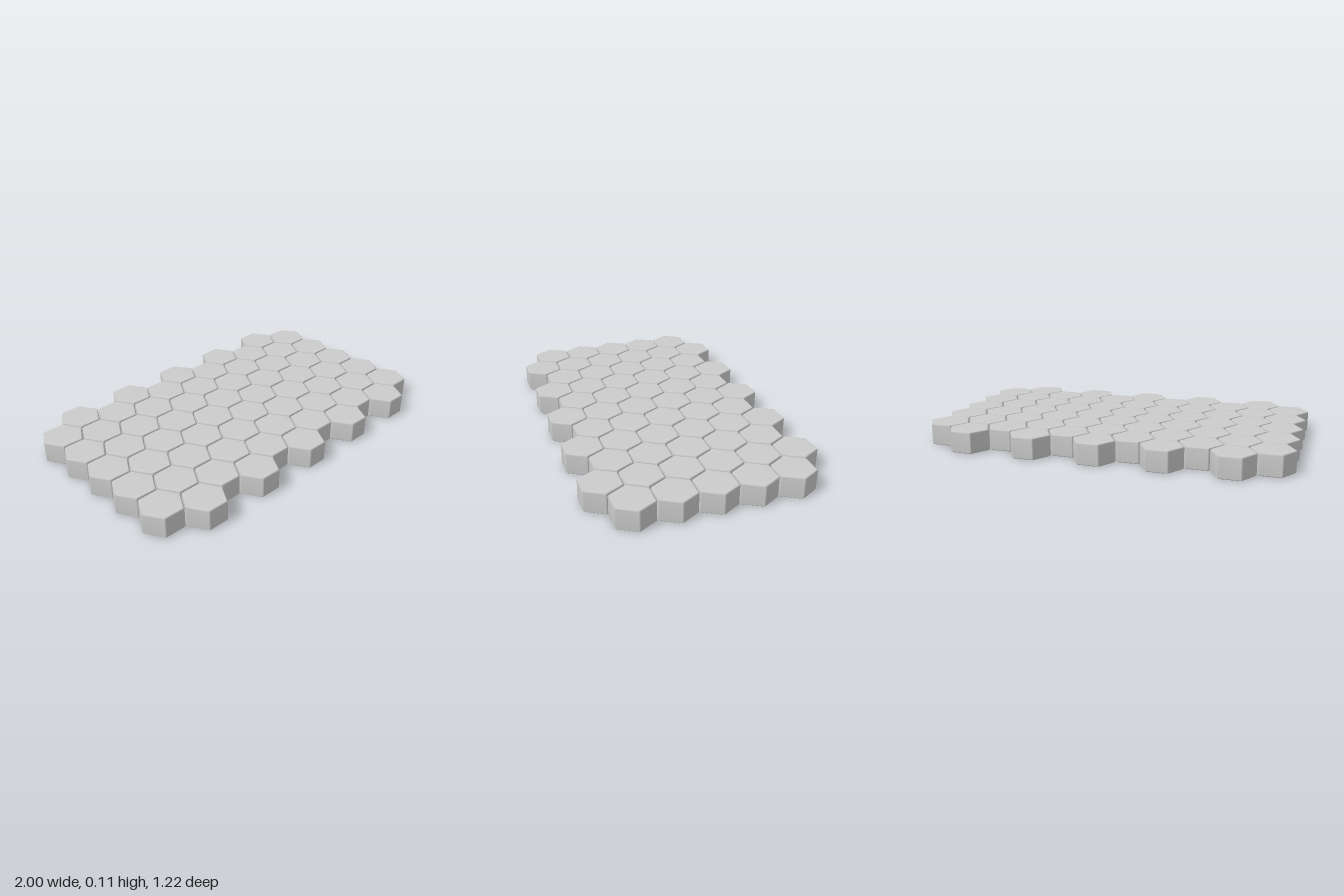
import * as THREE from 'three';
import { mergeVertices } from 'three/addons/utils/BufferGeometryUtils.js';

const HALF_FLAT = 0.1;                       // centre to flat side
const RADIUS = HALF_FLAT / Math.cos(Math.PI / 6);
const HEIGHT = 0.115;
const BEVEL = 0.006;
const PITCH_X = 0.1776, PITCH_Z = 0.2044;

// Hexagonal block with chamfered corners, bevelled rims and soft normals
function tileGeometry() {
  const corner = i => new THREE.Vector2(
    RADIUS * Math.cos(i * Math.PI / 3), RADIUS * Math.sin(i * Math.PI / 3));
  const cut = 0.005 / RADIUS;
  const points = [];
  for (let i = 0; i < 6; i++) {
    points.push(corner(i).lerp(corner(i - 1), cut), corner(i).lerp(corner(i + 1), cut));
  }
  let geo = new THREE.ExtrudeGeometry(new THREE.Shape(points), {
    depth: HEIGHT - 2 * BEVEL,
    bevelThickness: BEVEL, bevelSize: BEVEL, bevelOffset: -BEVEL, bevelSegments: 1,
  });
  geo.translate(0, 0, BEVEL);
  geo.rotateX(-Math.PI / 2);
  geo.deleteAttribute('uv');
  geo.deleteAttribute('normal');
  geo = mergeVertices(geo, 1e-5);
  geo.computeVertexNormals();
  return geo;
}

export function createModel() {
  const model = new THREE.Group();
  model.name = 'hexagonTileFloor';
  const geometry = tileGeometry();
  const material = new THREE.MeshStandardMaterial({ color: 0xcccccc });

  // Eleven columns, alternating six and five tiles
  for (let c = -5; c <= 5; c++) {
    const column = new THREE.Group();
    column.name = 'tileColumn';
    column.position.x = c * PITCH_X;
    const count = c % 2 === 0 ? 6 : 5;
    for (let r = 0; r < count; r++) {
      const tile = new THREE.Mesh(geometry, material);
      tile.name = 'hexagonTile';
      tile.position.z = (r - (count - 1) / 2) * PITCH_Z;
      column.add(tile);
    }
    model.add(column);
  }
  return model;
}
